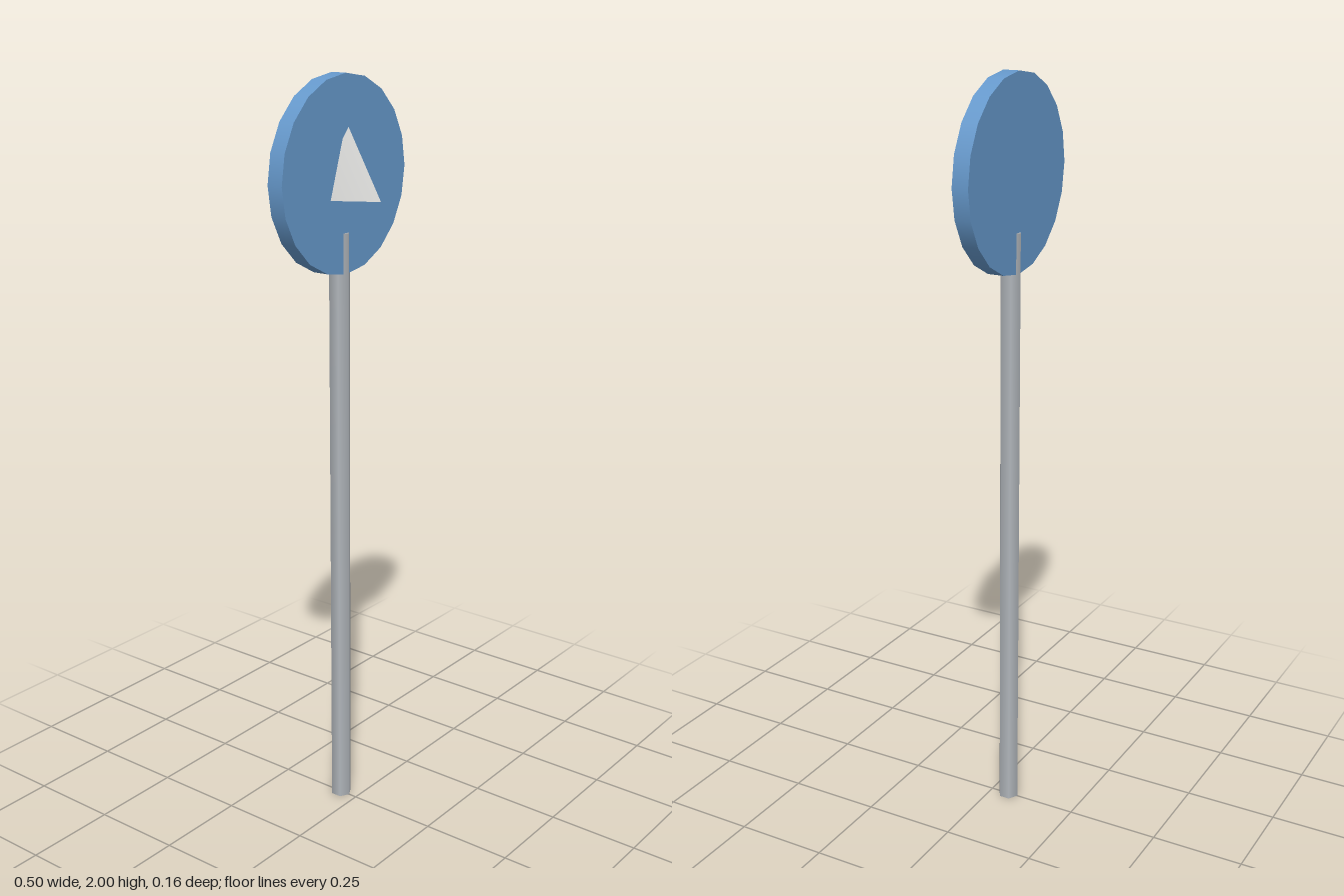
import * as THREE from 'three';

const blue = new THREE.MeshStandardMaterial({ name: 'signBlue', color: 0x6699cc });
const grey = new THREE.MeshStandardMaterial({ name: 'poleGrey', color: 0xb0b5ba });
const white = new THREE.MeshStandardMaterial({ name: 'pointerWhite', color: 0xdededc });

const AXIS_Z = -0.052; // shared depth of pole and disc

function addPart(group, name, geometry, material, y, z) {
  const mesh = new THREE.Mesh(geometry, material);
  mesh.name = name;
  mesh.position.set(0, y, z);
  group.add(mesh);
}

export function createModel() {
  const group = new THREE.Group();
  group.name = 'roundSign';

  // Hexagonal pole, slightly thicker than the disc so it shows on both faces
  const poleHeight = 1.61;
  addPart(group, 'pole', new THREE.CylinderGeometry(0.0285, 0.0285, poleHeight, 6), grey, poleHeight / 2, AXIS_Z);

  // Upright disc facing forward
  const disc = new THREE.CylinderGeometry(0.248, 0.248, 0.044, 20).rotateX(Math.PI / 2);
  addPart(group, 'signDisc', disc, blue, 1.753, AXIS_Z);

  // Three-sided pointer with its rear corners sunk into the disc
  addPart(group, 'pointer', new THREE.ConeGeometry(0.1, 0.174, 3), white, 1.785, -0.022);

  return group;
}
